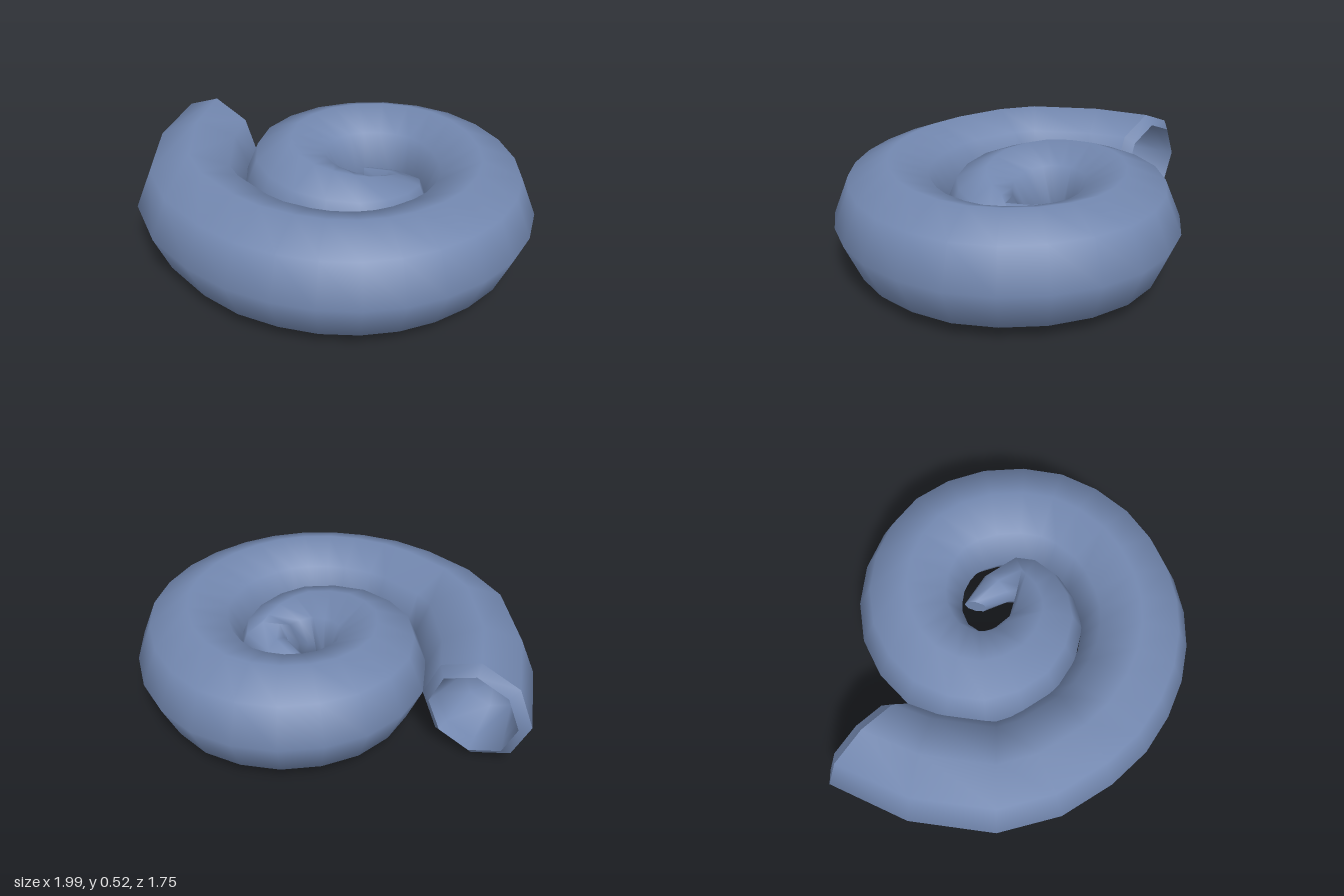
import * as THREE from 'three';

const SIDES = 8, RINGS = 36, RADIUS = 0.26;

// Outer edge of the spiral (x, z), from the mouth to the tip;
// the first and last points only steer the end directions.
const edge = new THREE.CatmullRomCurve3([
  [-0.83, -0.53],
  [-1, 0.17], [-0.47, 0.77], [0.1, 0.87], [0.51, 0.75], [0.8, 0.51],
  [0.96, 0.19], [0.98, -0.2], [0.81, -0.58], [0.46, -0.83], [0.05, -0.88],
  [-0.31, -0.7], [-0.52, -0.36], [-0.5, 0.03], [-0.24, 0.32], [0.13, 0.36],
  [0.42, 0.16], [0.48, -0.13], [0.34, -0.34], [0, -0.26],
  [-0.1, 0.1],
].map(([x, z]) => new THREE.Vector3(x, 0, z)), false, 'catmullrom', 0.5);

// Centre, outward direction, tangent and radius of ring i
function frame(i) {
  const u = (1 + i / 2) / 20;
  const t = edge.getTangent(u);
  const out = new THREE.Vector3(-t.z, 0, t.x);
  const r = RADIUS * (1 - 0.78 * Math.pow(i / RINGS, 7));
  const c = edge.getPoint(u).addScaledVector(out, -r);
  c.y = RADIUS;
  return { c, out, t, r };
}

// Copy of a ring moved along its tangent, with a new radius
function shifted(f, along, r) {
  return { ...f, c: f.c.clone().addScaledVector(f.t, along), r };
}

// Smooth skin over a row of octagonal rings
function loft(rings) {
  const pos = [], index = [];
  rings.forEach(({ c, out, r }, i) => {
    for (let j = 0; j < SIDES; j++) {
      const a = (j / SIDES) * Math.PI * 2;
      const p = c.clone().addScaledVector(out, Math.cos(a) * r);
      pos.push(p.x, p.y + Math.sin(a) * r, p.z);
      if (i === rings.length - 1) continue;
      const k = (j + 1) % SIDES;
      const a0 = i * SIDES + j, b0 = i * SIDES + k;
      index.push(a0, a0 + SIDES, b0, b0, a0 + SIDES, b0 + SIDES);
    }
  });
  const g = new THREE.BufferGeometry();
  g.setAttribute('position', new THREE.Float32BufferAttribute(pos, 3));
  g.setIndex(index);
  g.computeVertexNormals();
  return g;
}

export function createModel() {
  const group = new THREE.Group();
  group.name = 'spiralShell';
  const slateBlue = new THREE.MeshStandardMaterial({ color: 0x7388b0, side: THREE.DoubleSide });
  slateBlue.name = 'slateBlue';

  const add = (name, rings) => {
    const mesh = new THREE.Mesh(loft(rings), slateBlue);
    mesh.name = name;
    group.add(mesh);
  };

  const rings = Array.from({ length: RINGS + 1 }, (_, i) => frame(i));
  const mouth = rings[0], tip = rings[RINGS];
  const lip = shifted(mouth, -0.043, 0.212);

  // Coiled tube, tapering towards the middle
  add('coil', rings);

  // Bevelled lip and hollow inside the mouth
  add('mouthLip', [lip, mouth]);
  add('mouthHollow', [
    shifted(mouth, 0.25, 0.001),
    shifted(mouth, 0.22, 0.14),
    shifted(mouth, 0.02, 0.195),
    lip,
  ]);

  // Flat end at the centre of the coil
  add('tipCap', [tip, shifted(tip, 0, 0.001)]);

  return group;
}
